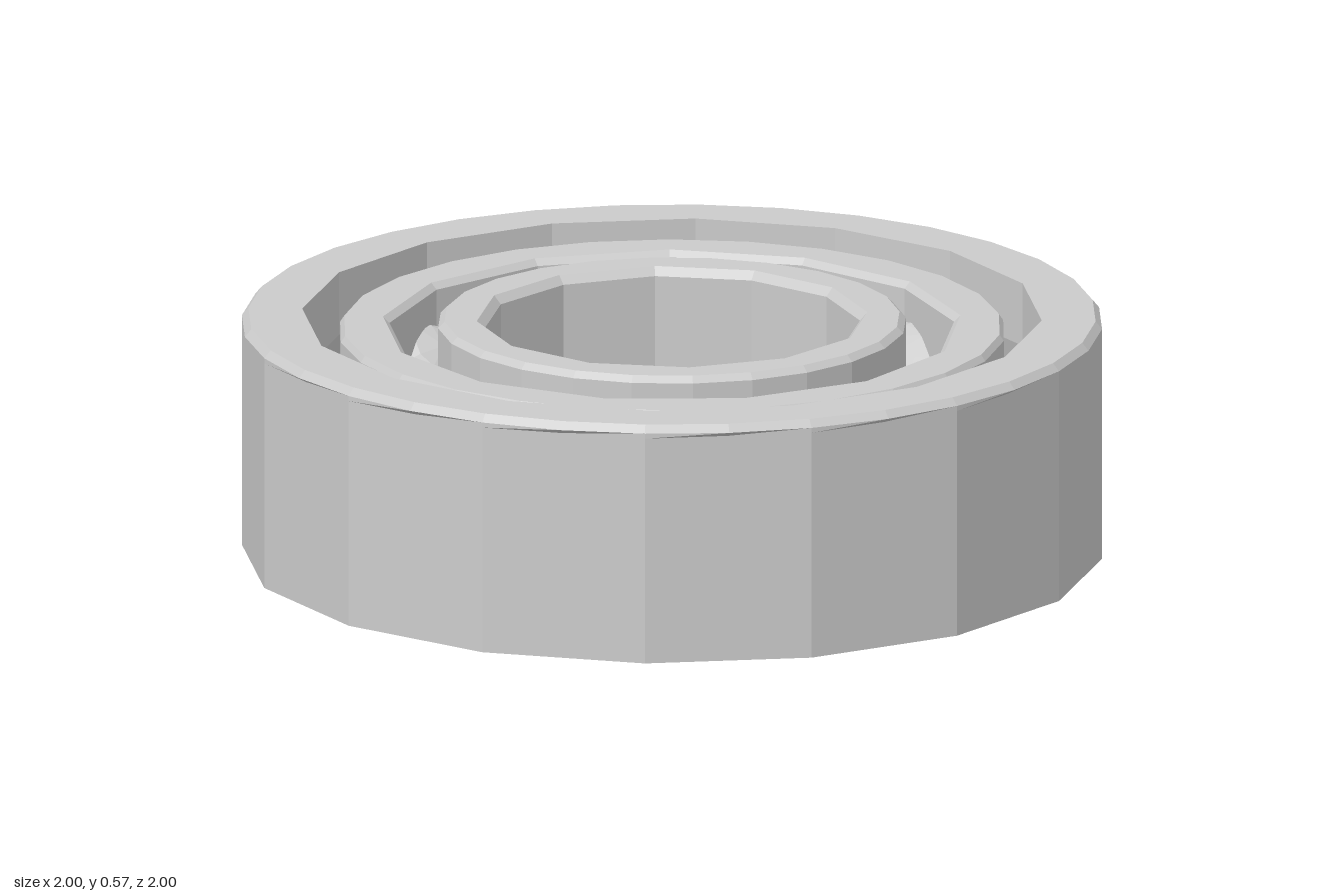
import * as THREE from 'three';

const steel = new THREE.MeshStandardMaterial({ color: 0xcccccc, flatShading: true });

// Closed ring swept from a profile of [radius, height, fine]. Points that are not
// fine keep only n sides: their in-between vertices lie on the straight chord.
// Profile order: up the outside, in over the top, down the bore, out underneath.
function ring(name, profile, n, phase) {
  const count = n * 2, rows = profile.length, pos = [], index = [];
  for (let i = 0; i < count; i++) {
    const a = phase + (i / count) * Math.PI * 2;
    for (const [r, y, fine] of profile) {
      const k = !fine && i % 2 ? r * Math.cos(Math.PI / n) : r;
      pos.push(k * Math.cos(a), y, k * Math.sin(a));
    }
  }
  for (let i = 0; i < count; i++) {
    for (let j = 0; j < rows; j++) {
      const i2 = (i + 1) % count, j2 = (j + 1) % rows;
      const a = i * rows + j, b = i * rows + j2, c = i2 * rows + j2, d = i2 * rows + j;
      index.push(a, b, d, b, c, d);
    }
  }
  const geo = new THREE.BufferGeometry();
  geo.setAttribute('position', new THREE.Float32BufferAttribute(pos, 3));
  geo.setIndex(index);
  geo.computeVertexNormals();
  const mesh = new THREE.Mesh(geo, steel);
  mesh.name = name;
  return mesh;
}

export function createModel() {
  const model = new THREE.Group();
  model.name = 'ballBearing';

  // Outer race: bevelled rim, shoulder above the balls, flared to a thin lip below
  model.add(ring('outerRace', [
    [1, 0], [1, 0.54], [1, 0.552, true], [0.985, 0.57, true],
    [0.86, 0.57], [0.86, 0.42], [0.89, 0.32], [0.895, 0.22], [0.978, 0],
  ], 16, THREE.MathUtils.degToRad(86)));

  // Cage: plain band that the balls sit through
  model.add(ring('cage', [
    [0.765, 0.02, true], [0.775, 0.035, true], [0.775, 0.53, true], [0.765, 0.545, true],
    [0.675, 0.545], [0.66, 0.53], [0.66, 0.035], [0.665, 0.02],
  ], 13, 0.04));

  // Inner race: shallow groove outside, straight bore with softened ends
  model.add(ring('innerRace', [
    [0.545, 0.005, true], [0.545, 0.17, true], [0.515, 0.28, true], [0.545, 0.39, true],
    [0.545, 0.55, true], [0.53, 0.565, true],
    [0.455, 0.565], [0.438, 0.545], [0.438, 0.02], [0.445, 0.005],
  ], 12, 0.04));

  // Nine balls between the races
  const balls = new THREE.Group();
  balls.name = 'balls';
  const ballGeo = new THREE.SphereGeometry(0.182, 10, 8);
  for (let i = 0; i < 9; i++) {
    const a = THREE.MathUtils.degToRad(6 + i * 40);
    const ball = new THREE.Mesh(ballGeo, steel);
    ball.name = 'ball';
    ball.position.set(0.7 * Math.cos(a), 0.285, 0.7 * Math.sin(a));
    ball.rotation.set(0.4, -a, 0.3);
    balls.add(ball);
  }
  model.add(balls);
  return model;
}
